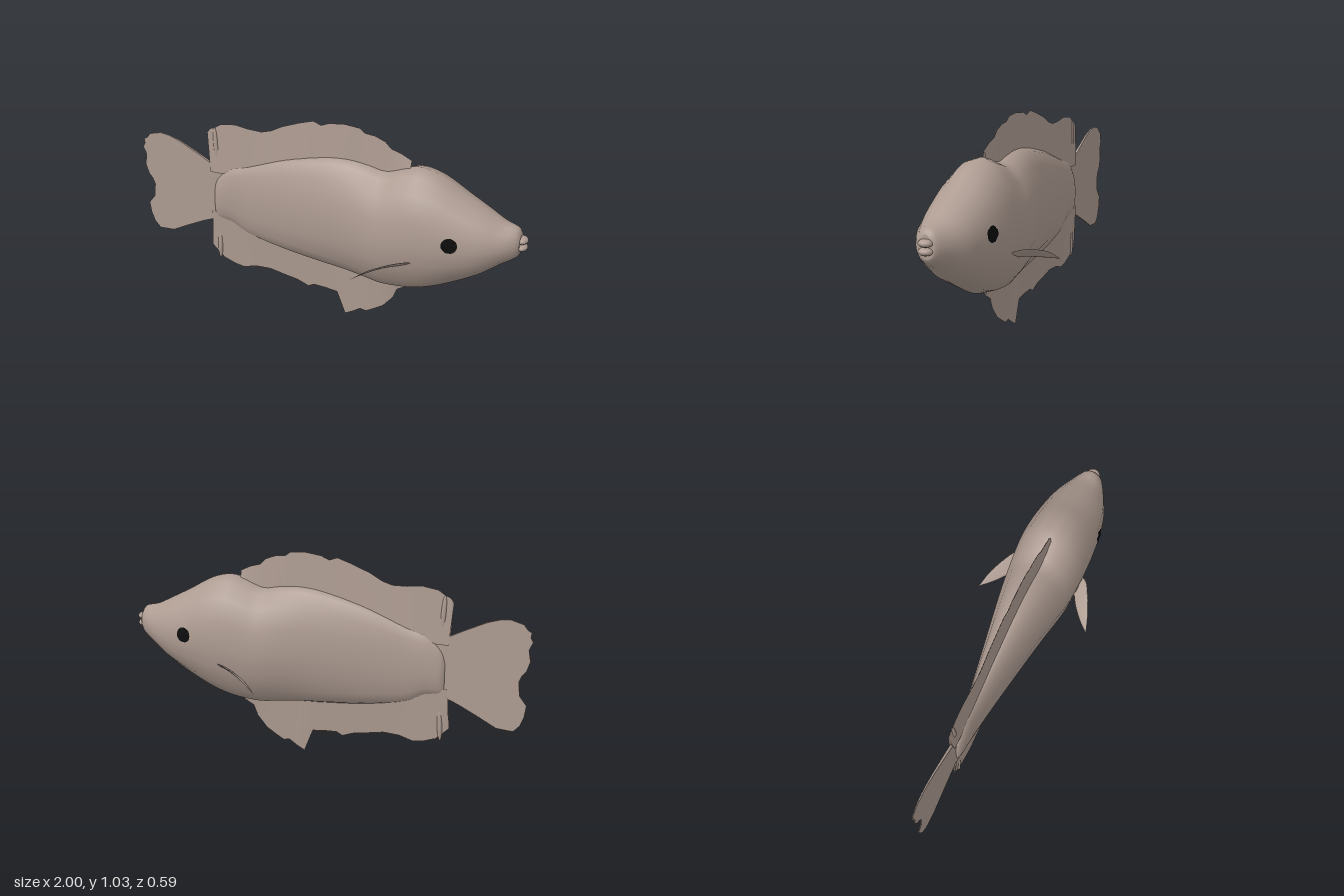
import * as THREE from 'three';

const skin = new THREE.MeshStandardMaterial({ color: 0xae9c92, side: THREE.DoubleSide });
skin.name = 'skin';
const black = new THREE.MeshStandardMaterial({ color: 0x0a0a0a, side: THREE.DoubleSide });
black.name = 'eyeBlack';

// Body stations from tail to snout: x, top, bottom, half width
const STATIONS = [
  [-0.595, 0.58, 0.41, 0.012], [-0.57, 0.635, 0.40, 0.028], [-0.5, 0.7, 0.39, 0.038],
  [-0.4, 0.735, 0.34, 0.046], [-0.2, 0.81, 0.3, 0.077], [0, 0.86, 0.28, 0.112],
  [0.12, 0.872, 0.272, 0.134], [0.22, 0.862, 0.26, 0.153], [0.31, 0.847, 0.248, 0.167],
  [0.4, 0.875, 0.252, 0.175], [0.48, 0.892, 0.264, 0.178], [0.58, 0.865, 0.298, 0.174],
  [0.7, 0.795, 0.36, 0.16], [0.8, 0.74, 0.42, 0.136], [0.88, 0.698, 0.482, 0.1],
  [0.945, 0.68, 0.525, 0.06], [0.965, 0.655, 0.55, 0.04]
];
const topCurve = new THREE.CatmullRomCurve3(STATIONS.map(s => new THREE.Vector3(s[0], s[1], 0)), false, 'catmullrom');
const lowCurve = new THREE.CatmullRomCurve3(STATIONS.map(s => new THREE.Vector3(s[0], s[2], s[3])), false, 'catmullrom');
const SECTIONS = [];
for (let i = 0; i <= 64; i++) {
  const a = topCurve.getPoint(i / 64), b = lowCurve.getPoint(i / 64);
  SECTIONS.push({ x: a.x, top: a.y, low: b.y, w: b.z });
}
const sectionAt = x => SECTIONS.find(s => s.x >= x) || SECTIONS[64];

function mesh(name, geometry, material = skin) {
  const m = new THREE.Mesh(geometry, material);
  m.name = name;
  return m;
}

// Joins closed rings of points into a smooth skin with capped ends
function loft(rings) {
  const n = rings[0].length, pos = [], idx = [];
  rings.forEach(r => r.forEach(p => pos.push(...p)));
  for (let i = 0; i < rings.length - 1; i++) {
    for (let k = 0; k < n; k++) {
      const a = i * n + k, b = i * n + (k + 1) % n;
      idx.push(a, b, a + n, b, b + n, a + n);
    }
  }
  const last = (rings.length - 1) * n;
  for (let k = 1; k < n - 1; k++) idx.push(0, k + 1, k, last, last + k, last + k + 1);
  const g = new THREE.BufferGeometry();
  g.setAttribute('position', new THREE.Float32BufferAttribute(pos, 3));
  g.setIndex(idx);
  g.computeVertexNormals();
  return g;
}

function bodyGeometry() {
  return loft(SECTIONS.map(s => Array.from({ length: 16 }, (_, k) => {
    const a = k / 16 * Math.PI * 2;
    return [s.x, (s.top + s.low) / 2 + (s.top - s.low) / 2 * Math.cos(a), s.w * Math.sin(a)];
  })));
}

// Wedge fin: thick where it leaves the body, sharp along its outline
function finGeometry(outline, baseY, thickness) {
  const pos = [], idx = [], n = outline.length;
  for (const side of [1, -1]) {
    const o = pos.length / 3;
    outline.forEach(([x, y]) => {
      const bx = Math.max(x, -0.61);
      pos.push(bx, baseY(bx), side * thickness, x, y, side * 0.0008);
    });
    for (let i = 0; i < n - 1; i++) {
      const a = o + i * 2; // outline runs from head to tail
      const up = outline[0][1] > 0.5 ? 1 : -1;
      if (side * up > 0) idx.push(a, a + 1, a + 2, a + 1, a + 3, a + 2);
      else idx.push(a, a + 2, a + 1, a + 1, a + 2, a + 3);
    }
  }
  const g = new THREE.BufferGeometry();
  g.setAttribute('position', new THREE.Float32BufferAttribute(pos, 3));
  g.setIndex(idx);
  g.computeVertexNormals();
  return g;
}

const DORSAL = [
  [0.43, 0.915], [0.38, 0.94], [0.33, 0.955], [0.3, 0.985], [0.25, 1.005], [0.2, 1.01], [0.175, 1.03],
  [0.1, 1.037], [0.02, 1.027], [-0.02, 1.01], [-0.06, 1.025], [-0.13, 1.003], [-0.22, 0.968],
  [-0.28, 0.935], [-0.33, 0.92], [-0.4, 0.922], [-0.47, 0.932], [-0.55, 0.92], [-0.58, 0.9],
  [-0.61, 0.887], [-0.625, 0.865], [-0.612, 0.84], [-0.61, 0.7]
];
const ANAL = [
  [0.43, 0.24], [0.38, 0.212], [0.36, 0.16], [0.31, 0.1], [0.26, 0.068], [0.22, 0.045], [0.19, 0.052],
  [0.15, 0.025], [0.11, 0.003], [0.065, 0.12], [0, 0.128], [-0.06, 0.131], [-0.09, 0.115], [-0.15, 0.138],
  [-0.22, 0.15], [-0.3, 0.166], [-0.38, 0.162], [-0.45, 0.141], [-0.5, 0.15], [-0.56, 0.172],
  [-0.6, 0.21], [-0.625, 0.235], [-0.612, 0.265], [-0.61, 0.38]
];
const TAIL = [
  [-0.52, 0.64], [-0.59, 0.692], [-0.67, 0.735], [-0.78, 0.79], [-0.84, 0.81], [-0.89, 0.816], [-0.95, 0.8],
  [-0.97, 0.775], [-0.988, 0.765], [-0.985, 0.74], [-0.997, 0.72], [-0.98, 0.68], [-0.99, 0.625],
  [-0.975, 0.575], [-0.955, 0.55], [-0.943, 0.52], [-0.95, 0.45], [-0.985, 0.405], [-0.978, 0.35],
  [-0.96, 0.3], [-0.93, 0.267], [-0.85, 0.272], [-0.76, 0.32], [-0.67, 0.365], [-0.6, 0.395], [-0.52, 0.42]
];

function tailGeometry() {
  const shape = new THREE.Shape(TAIL.map(p => new THREE.Vector2(...p)));
  const g = new THREE.ExtrudeGeometry(shape, { depth: 2, bevelEnabled: false });
  const p = g.attributes.position;
  // taper the thickness towards the trailing edge
  for (let i = 0; i < p.count; i++) {
    const t = THREE.MathUtils.lerp(0.0015, 0.008, (p.getX(i) + 1) / 0.48);
    p.setZ(i, (p.getZ(i) - 1) * t);
  }
  g.computeVertexNormals();
  return g;
}

// Curved leaf lofted between a leading and a trailing edge
function pectoralGeometry() {
  const edge = pts => new THREE.CatmullRomCurve3(pts.map(p => new THREE.Vector3(...p)));
  const lead = edge([[0.505, 0.47, 0.15], [0.48, 0.489, 0.19], [0.42, 0.484, 0.227], [0.33, 0.455, 0.27], [0.257, 0.408, 0.295]]);
  const trail = edge([[0.43, 0.445, 0.145], [0.4, 0.437, 0.165], [0.36, 0.43, 0.19], [0.3, 0.417, 0.243], [0.255, 0.406, 0.295]]);
  const bulge = new THREE.Vector3(-0.2, 0.85, 0.5).normalize();
  const rings = [];
  for (let i = 0; i <= 12; i++) {
    const a = lead.getPoint(i / 12), b = trail.getPoint(i / 12);
    const thick = 0.011 * (1 - i / 13);
    rings.push(Array.from({ length: 10 }, (_, k) => {
      const t = k / 10 * Math.PI * 2;
      return a.clone().lerp(b, 0.5 + 0.5 * Math.cos(t)).addScaledVector(bulge, -thick * Math.sin(t)).toArray();
    }));
  }
  return loft(rings);
}

// Eye disc laid onto the curve of the head
function eyeGeometry() {
  const g = new THREE.CircleGeometry(0.037, 20).translate(0.675, 0.607, 0);
  const p = g.attributes.position;
  for (let i = 0; i < p.count; i++) {
    const s = sectionAt(p.getX(i));
    const v = (p.getY(i) - (s.top + s.low) / 2) / ((s.top - s.low) / 2);
    p.setZ(i, s.w * Math.sqrt(1 - v * v) + 0.004);
  }
  g.computeVertexNormals();
  return g;
}

export function createModel() {
  const fish = new THREE.Group();
  fish.name = 'fish';
  fish.add(mesh('body', bodyGeometry()));
  fish.add(mesh('dorsalFin', finGeometry(DORSAL, x => Math.max(sectionAt(x).top - 0.03, 0.66), 0.014)));
  fish.add(mesh('analFin', finGeometry(ANAL, x => sectionAt(x).low + 0.03, 0.014)));
  fish.add(mesh('tailFin', tailGeometry()));

  // folded fin ends beside the tail root
  for (const [y, h, tilt] of [[0.8, 0.1, 0.05], [0.255, 0.09, -0.05]]) {
    const fold = mesh('finFold', new THREE.SphereGeometry(1, 10, 10));
    fold.scale.set(0.014, h, 0.012);
    fold.position.set(-0.578, y, 0);
    fold.rotation.z = tilt;
    fish.add(fold);
  }

  // lips
  for (const [name, y] of [['upperLip', 0.622], ['lowerLip', 0.586]]) {
    const lip = mesh(name, new THREE.SphereGeometry(1, 12, 8));
    lip.scale.set(0.03, 0.018, 0.034);
    lip.position.set(0.968, y, 0);
    fish.add(lip);
  }

  // paired parts
  for (const side of [1, -1]) {
    const word = side > 0 ? 'Front' : 'Back';
    const fin = mesh('pectoralFin' + word, pectoralGeometry());
    const eye = mesh('eye' + word, eyeGeometry(), black);
    fin.scale.z = eye.scale.z = side;
    fish.add(fin, eye);
  }
  return fish;
}
